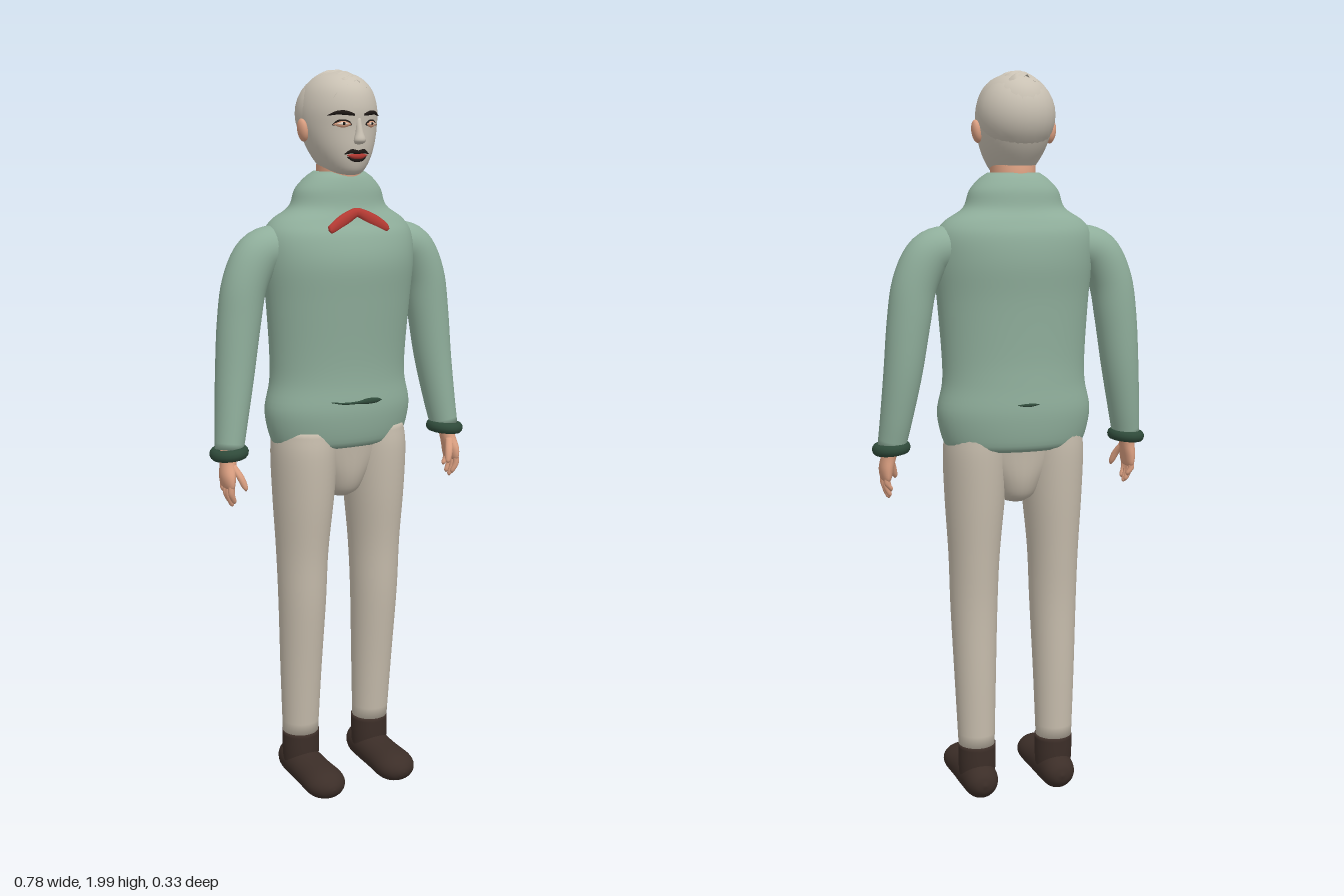
import * as THREE from 'three';

const Y = new THREE.Vector3(0, 1, 0), Z = new THREE.Vector3(0, 0, 1), DOWN = new THREE.Vector3(0, -1, 0);

const paint = (name, color) => {
  const m = new THREE.MeshStandardMaterial({ color });
  m.name = name;
  return m;
};

// Smooth skin over elliptical rings [x, y, z, a, b]; b lies along ref, a across it.
// With dir set (the way the rings advance), every ring stays square to it.
function sweep(rings, ref, dir = null, sides = 32, perSpan = 5) {
  const path = new THREE.CatmullRomCurve3(rings.map(r => new THREE.Vector3(r[0], r[1], r[2])), false, 'catmullrom');
  const radii = new THREE.CatmullRomCurve3(rings.map(r => new THREE.Vector3(r[3], r[4], 0)), false, 'catmullrom');
  const steps = (rings.length - 1) * perSpan, pos = [], idx = [];
  for (let i = 0; i <= steps; i++) {
    const t = i / steps, c = path.getPoint(t), r = radii.getPoint(t);
    const T = dir || path.getTangent(t);
    const A = new THREE.Vector3().crossVectors(ref, T).normalize();
    const B = new THREE.Vector3().crossVectors(T, A);
    const a = Math.max(r.x, 0.0005), b = Math.max(r.y, 0.0005);
    for (let j = 0; j < sides; j++) {
      const u = j / sides * Math.PI * 2;
      const p = c.clone().addScaledVector(A, a * Math.cos(u)).addScaledVector(B, b * Math.sin(u));
      pos.push(p.x, p.y, p.z);
      if (i < steps) {
        const k = (j + 1) % sides, p0 = i * sides, p1 = p0 + sides;
        idx.push(p0 + j, p0 + k, p1 + k, p0 + j, p1 + k, p1 + j);
      }
    }
  }
  // end caps
  const s = pos.length / 3, last = steps * sides;
  const c0 = path.getPoint(0), c1 = path.getPoint(1);
  pos.push(c0.x, c0.y, c0.z, c1.x, c1.y, c1.z);
  for (let j = 0; j < sides; j++) {
    const k = (j + 1) % sides;
    idx.push(s, k, j, s + 1, last + j, last + k);
  }
  const g = new THREE.BufferGeometry();
  g.setAttribute('position', new THREE.Float32BufferAttribute(pos, 3));
  g.setIndex(idx);
  g.computeVertexNormals();
  return g;
}

// Body profiles: [height, front z, back z, half width]
const TORSO = [
  [1.0, 0.075, -0.13, 0.175], [1.02, 0.097, -0.15, 0.198], [1.1, 0.11, -0.16, 0.215], [1.18, 0.105, -0.155, 0.2],
  [1.26, 0.107, -0.152, 0.2], [1.4, 0.12, -0.157, 0.21], [1.5, 0.128, -0.166, 0.219], [1.57, 0.113, -0.16, 0.216],
  [1.61, 0.09, -0.143, 0.192], [1.645, 0.073, -0.122, 0.14], [1.69, 0.065, -0.112, 0.122],
  [1.72, 0.055, -0.096, 0.095], [1.737, 0.043, -0.082, 0.07],
];
const HEAD = [
  [1.726, 0.045, -0.03, 0.02], [1.735, 0.07, -0.06, 0.045], [1.76, 0.083, -0.085, 0.066], [1.8, 0.09, -0.115, 0.086],
  [1.85, 0.092, -0.138, 0.099], [1.9, 0.095, -0.148, 0.1], [1.945, 0.082, -0.135, 0.086],
  [1.975, 0.05, -0.105, 0.06], [1.99, 0.01, -0.065, 0.025], [1.994, -0.02, -0.03, 0.003],
];
const profileRings = p => p.map(([y, f, b, w]) => [0, y, (f + b) / 2, w, (f - b) / 2]);

// Depth of a profile's surface at (x, y); side = 1 front, -1 back
function surfaceZ(profile, x, y, side = 1) {
  let i = 0;
  while (i < profile.length - 2 && profile[i + 1][0] < y) i++;
  const t = (y - profile[i][0]) / (profile[i + 1][0] - profile[i][0]);
  const [f, b, w] = [1, 2, 3].map(k => THREE.MathUtils.lerp(profile[i][k], profile[i + 1][k], t));
  return (f + b) / 2 + side * (f - b) / 2 * Math.sqrt(Math.max(0, 1 - (x / w) ** 2));
}

// Flat stroke lying on a profile; points [x, y, half height]
const stroke = (profile, pts, depth, side = 1) =>
  sweep(pts.map(([x, y, h]) => [x, y, surfaceZ(profile, x, y, side), h, depth]), Z, null, 10, 5);

export function createModel() {
  const model = new THREE.Group();
  model.name = 'standingMan';
  const sweater = paint('sage sweater', 0x8fae9b), cuffGreen = paint('dark green', 0x2f4a3a);
  const trouser = paint('beige trousers', 0xc6bcac), pale = paint('pale grey head', 0xc9c1b3);
  const skin = paint('skin', 0xd99e80), shoe = paint('dark brown', 0x3c2e28);
  const red = paint('red', 0xb53a33), black = paint('black', 0x1e1815), white = paint('eye white', 0xe8dfd2);
  pale.side = THREE.DoubleSide;
  const add = (name, geometry, material, parent = model) => {
    const m = new THREE.Mesh(geometry, material);
    m.name = name;
    parent.add(m);
    return m;
  };
  const ball = (name, mat, x, y, z, rx, ry, rz, parent) => {
    const m = add(name, new THREE.SphereGeometry(1, 24, 16), mat, parent);
    m.position.set(x, y, z);
    m.scale.set(rx, ry, rz);
    return m;
  };

  // Sweater with its roll collar, bow and hem slits
  add('sweaterBody', sweep(profileRings(TORSO), Z, Y, 48), sweater);
  add('neckBow', stroke(TORSO, [[-0.088, 1.588, 0.003], [-0.08, 1.592, 0.013], [-0.045, 1.612, 0.017], [-0.012, 1.629, 0.014], [0, 1.632, 0.013],
    [0.012, 1.629, 0.014], [0.045, 1.612, 0.017], [0.08, 1.592, 0.013], [0.088, 1.588, 0.003]], 0.01), red);
  add('frontHemSlit', stroke(TORSO, [[-0.085, 1.136, 0.001], [-0.05, 1.131, 0.003], [-0.01, 1.131, 0.004],
    [0.02, 1.132, 0.008], [0.05, 1.132, 0.007], [0.065, 1.132, 0.001]], 0.005), cuffGreen);
  add('backHemSlit', stroke(TORSO, [[-0.03, 1.133, 0.001], [0, 1.131, 0.005], [0.03, 1.132, 0.001]], 0.004, -1), cuffGreen);

  // Seat of the trousers
  add('pelvis', sweep([[0, 0.85, -0.025, 0.03, 0.04], [0, 0.87, -0.025, 0.055, 0.07], [0, 0.92, -0.024, 0.085, 0.09],
    [0, 1.0, -0.022, 0.15, 0.1], [0, 1.06, -0.022, 0.175, 0.106]], Z, Y), trouser);

  // Neck, head and hair
  add('neck', sweep([[0, 1.68, -0.018, 0.062, 0.066], [0, 1.73, -0.016, 0.06, 0.069], [0, 1.78, -0.012, 0.06, 0.062]], Z, Y), skin);
  add('head', sweep(profileRings(HEAD), Z, Y, 40), pale);
  ball('backHair', pale, 0, 1.885, -0.045, 0.103, 0.106, 0.107);

  // Wavy top hair, lifted off the crown with ragged edges
  const tuft = new THREE.PlaneGeometry(2, 2, 40, 64).rotateX(-Math.PI / 2);
  const p = tuft.attributes.position;
  for (let i = 0; i < p.count; i++) {
    const u = p.getX(i), v = p.getZ(i);
    const x = u * (0.07 - 0.006 * v * v) + 0.004 * Math.sin(v * 17) * Math.abs(u);
    const z = -0.02 + v * (0.089 - 0.008 * u * u) + 0.005 * Math.sin(u * 14) * v * v;
    const crown = 1.993 - 0.02 * v * v - 0.009 * v - 0.036 * u * u - 0.02 * u * u * v * v;
    p.setXYZ(i, x, crown + 0.0045 * Math.sin(z * 190 + 1.5 * Math.sin(u * 5)), z);
  }
  tuft.computeVertexNormals();
  add('wavyTopHair', tuft, pale);

  // Face
  add('nose', sweep([[0, 1.875, 0.086, 0.007, 0.008], [0, 1.84, 0.093, 0.01, 0.012], [0, 1.818, 0.096, 0.016, 0.015],
    [0, 1.808, 0.09, 0.01, 0.01]], Z, DOWN, 16), pale);
  add('upperLipLine', stroke(HEAD, [[-0.035, 1.783, 0.001], [-0.018, 1.79, 0.006], [0, 1.788, 0.005], [0.018, 1.79, 0.006], [0.035, 1.783, 0.001]], 0.004), black);
  add('lowerLipLine', stroke(HEAD, [[-0.028, 1.776, 0.001], [-0.012, 1.768, 0.004], [0.012, 1.768, 0.004], [0.028, 1.776, 0.001]], 0.003), black);
  add('lips', stroke(HEAD, [[-0.029, 1.78, 0.001], [-0.012, 1.778, 0.007], [0.012, 1.778, 0.007], [0.029, 1.78, 0.001]], 0.005), red);

  // Paired parts
  for (const s of [1, -1]) {
    const half = new THREE.Group();
    half.name = s > 0 ? 'leftSide' : 'rightSide';
    model.add(half);
    const flip = rings => rings.map(([x, ...r]) => [s * x, ...r]);

    // Brow, eye and ear
    add('eyebrow', stroke(HEAD, flip([[0.014, 1.882, 0.003], [0.035, 1.887, 0.006], [0.055, 1.887, 0.005], [0.072, 1.881, 0.001]]), 0.006), black, half);
    add('eyeOutline', stroke(HEAD, flip([[0.02, 1.857, 0.001], [0.032, 1.861, 0.009], [0.05, 1.861, 0.009], [0.064, 1.857, 0.001]]), 0.003), black, half);
    add('eyelid', stroke(HEAD, flip([[0.022, 1.858, 0.001], [0.034, 1.859, 0.008], [0.049, 1.859, 0.008], [0.062, 1.858, 0.001]]), 0.0045), skin, half);
    add('eyeWhite', stroke(HEAD, flip([[0.029, 1.859, 0.001], [0.041, 1.86, 0.005], [0.054, 1.859, 0.001]]), 0.006), white, half);
    ball('pupil', black, s * 0.041, 1.86, surfaceZ(HEAD, 0.041, 1.86) + 0.004, 0.004, 0.004, 0.004, half);
    ball('ear', skin, s * 0.103, 1.843, -0.025, 0.013, 0.03, 0.02, half).rotation.z = -s * 0.15;

    // Sleeve and cuff
    add('sleeve', sweep(flip([[0.12, 1.545, -0.03, 0.04, 0.05], [0.175, 1.545, -0.03, 0.056, 0.06], [0.235, 1.522, -0.03, 0.062, 0.061],
      [0.275, 1.45, -0.03, 0.06, 0.06], [0.293, 1.35, -0.03, 0.058, 0.059], [0.309, 1.22, -0.026, 0.052, 0.056],
      [0.326, 1.1, -0.016, 0.044, 0.05], [0.339, 1.015, -0.006, 0.038, 0.043]]), Z), sweater, half);
    const cuff = add('cuff', new THREE.TorusGeometry(0.038, 0.014, 12, 32), cuffGreen, half);
    cuff.position.set(s * 0.34, 1.008, -0.004);
    cuff.rotation.set(Math.PI / 2, -s * 0.1, 0);
    cuff.scale.set(1, 1.08, 1.15);

    // Hand with four fingers and a thumb
    add('palm', sweep(flip([[0.34, 1.02, -0.004, 0.024, 0.027], [0.346, 0.985, 0.002, 0.021, 0.027], [0.352, 0.95, 0.01, 0.019, 0.037],
      [0.353, 0.922, 0.012, 0.013, 0.036], [0.352, 0.915, 0.012, 0.004, 0.02]]), Z, DOWN, 20), skin, half);
    for (let f = 0; f < 4; f++) {
      const z = -0.014 + f * 0.0175, tip = [0.89, 0.872, 0.865, 0.876][f];
      add('finger', sweep(flip([[0.353, 0.935, z, 0.008, 0.008], [0.354, (0.935 + tip) / 2, z, 0.009, 0.008],
        [0.346, tip + 0.008, z * 0.9, 0.007, 0.007], [0.344, tip, z * 0.9, 0.001, 0.001]]), Z, DOWN, 12), skin, half);
    }
    add('thumb', sweep(flip([[0.342, 0.98, 0.02, 0.01, 0.01], [0.329, 0.95, 0.04, 0.011, 0.011],
      [0.32, 0.922, 0.05, 0.008, 0.008], [0.318, 0.912, 0.052, 0.001, 0.001]]), Z, DOWN, 12), skin, half);

    // Trouser leg
    add('trouserLeg', sweep(flip([[0.1, 1.05, -0.022, 0.09, 0.105], [0.108, 0.98, -0.02, 0.089, 0.108], [0.112, 0.85, -0.02, 0.081, 0.1],
      [0.115, 0.7, -0.022, 0.07, 0.085], [0.116, 0.55, -0.022, 0.065, 0.075], [0.116, 0.35, -0.032, 0.058, 0.063],
      [0.115, 0.145, -0.04, 0.051, 0.051]]), Z, DOWN), trouser, half);

    // Shoe and ankle
    add('ankle', sweep(flip([[0.114, 0.05, -0.04, 0.05, 0.05], [0.114, 0.1, -0.04, 0.053, 0.053], [0.114, 0.153, -0.04, 0.053, 0.053]]), Z, Y), shoe, half);
    add('shoe', sweep(flip([[0.114, 0.055, -0.126, 0.004, 0.004], [0.114, 0.055, -0.117, 0.03, 0.028], [0.114, 0.054, -0.09, 0.047, 0.048],
      [0.114, 0.053, -0.04, 0.052, 0.05], [0.114, 0.049, 0.04, 0.055, 0.045], [0.114, 0.047, 0.11, 0.058, 0.042],
      [0.114, 0.047, 0.145, 0.043, 0.031], [0.114, 0.047, 0.161, 0.02, 0.015], [0.114, 0.047, 0.166, 0.002, 0.002]]), Y, Z), shoe, half);
  }
  return model;
}
